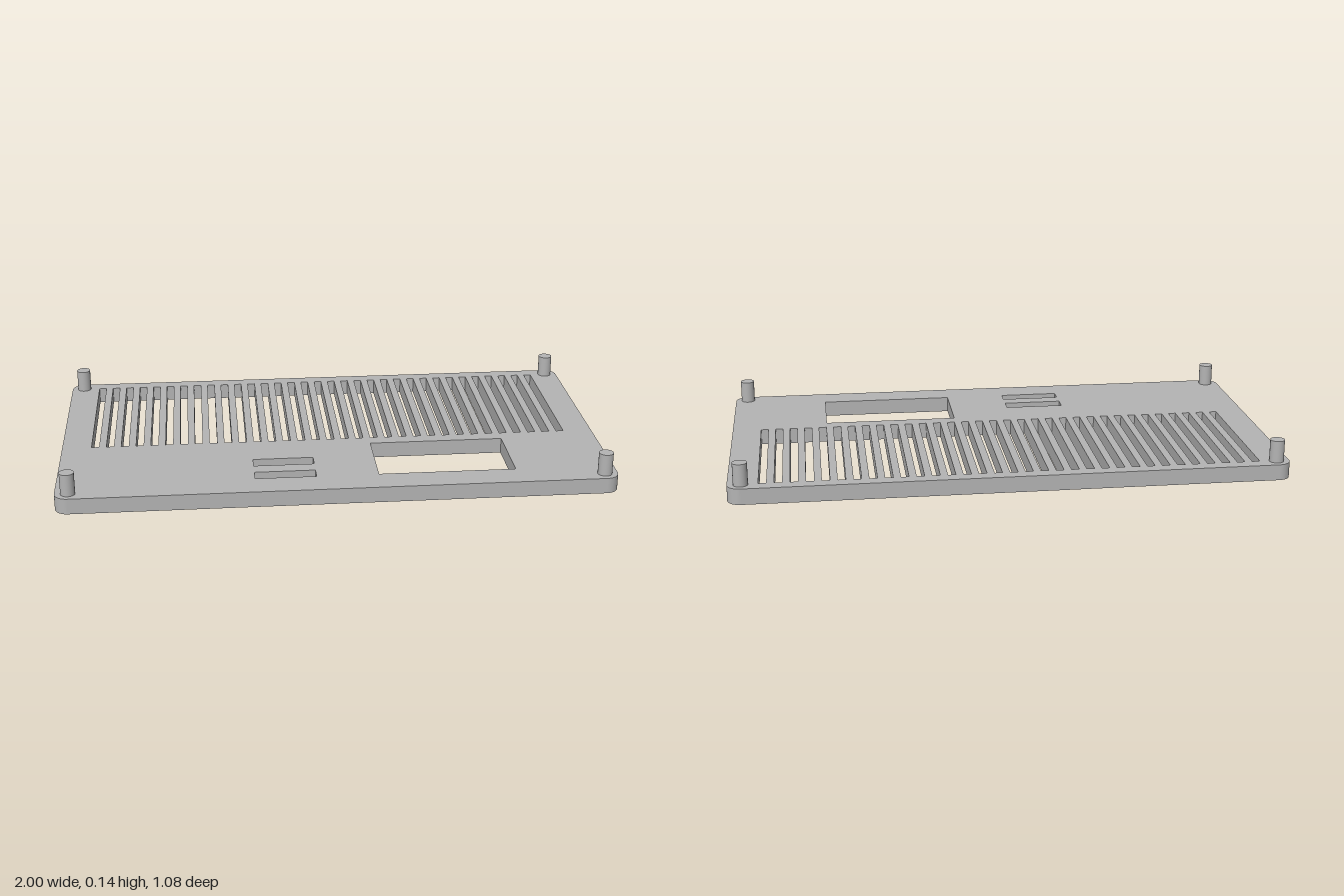
import * as THREE from 'three';

const HALF_X = 1, HALF_Z = 0.538, THICK = 0.058, CORNER = 0.048;

// Rectangular hole given in plan coordinates (x, z)
function rectHole(x0, x1, z0, z1) {
  const p = new THREE.Path();
  p.moveTo(x0, -z0);
  p.lineTo(x1, -z0);
  p.lineTo(x1, -z1);
  p.lineTo(x0, -z1);
  p.closePath();
  return p;
}

// Rounded rectangle outline
function plateOutline(w, d, r) {
  const s = new THREE.Shape();
  s.absarc(w - r, d - r, r, 0, Math.PI / 2);
  s.absarc(-w + r, d - r, r, Math.PI / 2, Math.PI);
  s.absarc(-w + r, -d + r, r, Math.PI, Math.PI * 1.5);
  s.absarc(w - r, -d + r, r, Math.PI * 1.5, Math.PI * 2);
  s.closePath();
  return s;
}

export function createModel() {
  const model = new THREE.Group();
  model.name = 'ventedCoverPlate';
  const grey = new THREE.MeshStandardMaterial({ color: 0xb4b4b4 });
  grey.name = 'grey';

  // Plate with vent slots, window and two small ports
  const outline = plateOutline(HALF_X, HALF_Z, CORNER);
  const slots = 33, first = -0.878, pitch = 0.0549, slotHalf = 0.014;
  for (let i = 0; i < slots; i++) {
    const x = first + i * pitch;
    outline.holes.push(rectHole(x - slotHalf, x + slotHalf, -0.489, 0.102));
  }
  outline.holes.push(
    rectHole(0.146, 0.642, 0.155, 0.428),
    rectHole(-0.298, -0.078, 0.264, 0.32),
    rectHole(-0.298, -0.078, 0.375, 0.428),
  );
  const plateGeo = new THREE.ExtrudeGeometry(outline, {
    depth: THICK, bevelEnabled: false, curveSegments: 10,
  });
  plateGeo.rotateX(-Math.PI / 2);
  const plate = new THREE.Mesh(plateGeo, grey);
  plate.name = 'plate';
  model.add(plate);

  // Corner posts
  const postHeight = 0.139 - THICK;
  const postGeo = new THREE.CylinderGeometry(0.026, 0.026, postHeight, 32);
  for (const sx of [-1, 1]) {
    for (const sz of [-1, 1]) {
      const post = new THREE.Mesh(postGeo, grey);
      post.name = (sz > 0 ? 'front' : 'back') + (sx > 0 ? 'Left' : 'Right') + 'Post';
      post.position.set(sx * 0.952, THICK + postHeight / 2, sz * 0.493);
      model.add(post);
    }
  }
  return model;
}
